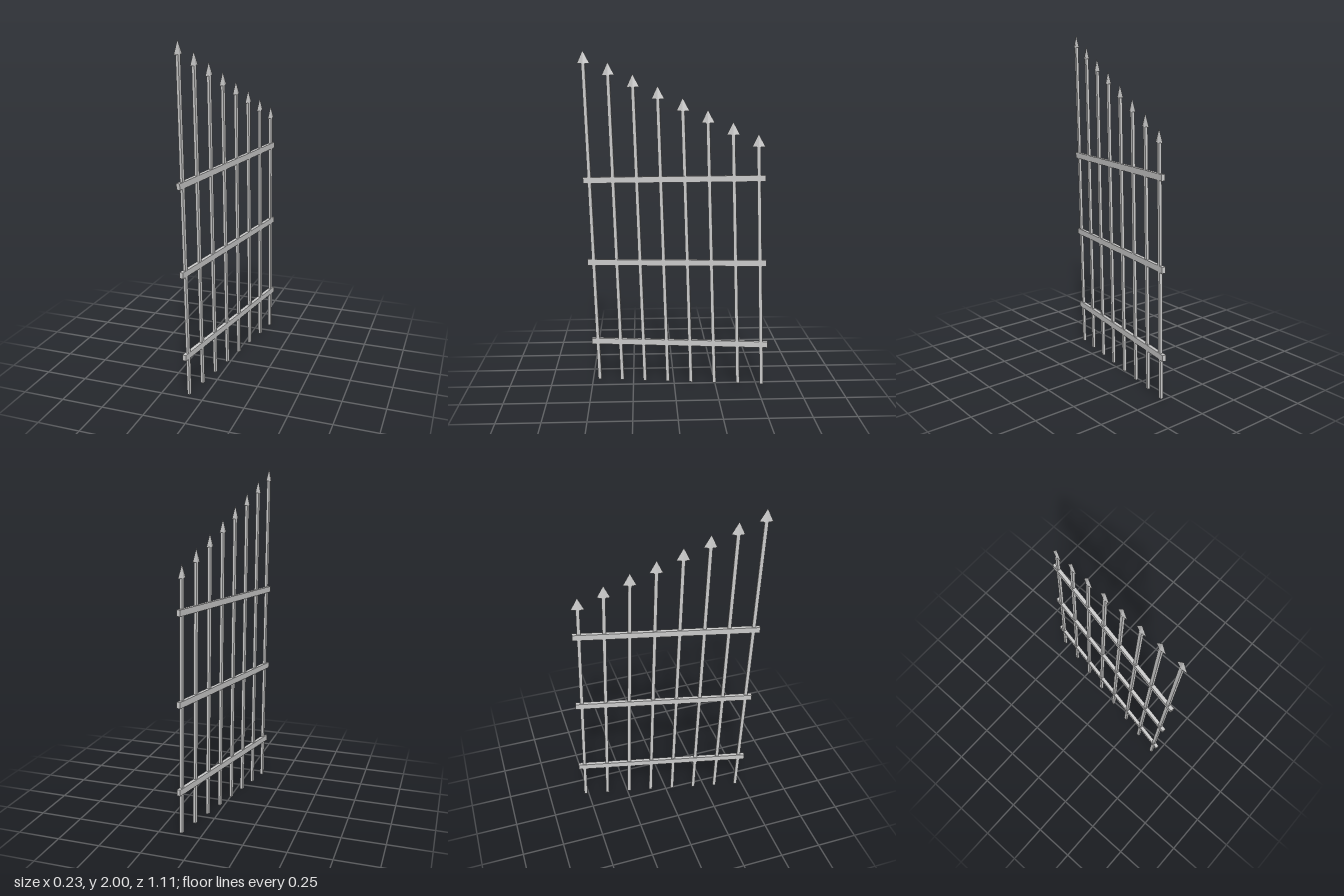
import * as THREE from 'three';

const BARS = 8, SPACING = 0.1428, BAR_WIDTH = 0.021, BAR_DEPTH = 0.016;
const HEAD_HEIGHT = 0.075, TALLEST = 2.0, STEP = 0.071;

export function createModel() {
  const material = new THREE.MeshStandardMaterial({ color: 0xcccccc, flatShading: true });
  const fence = new THREE.Group();
  fence.name = 'fencePanel';

  const add = (name, geometry, x, y, z = 0) => {
    const mesh = new THREE.Mesh(geometry, material);
    mesh.name = name;
    mesh.position.set(x, y, z);
    fence.add(mesh);
  };

  // Thin four-sided spear head, shared by all bars
  const head = new THREE.ConeGeometry(0.038, HEAD_HEIGHT, 4);
  head.scale(1, 1, 0.26);

  // Flat upright bars, stepping down in height along the panel
  for (let i = 0; i < BARS; i++) {
    const x = (i - (BARS - 1) / 2) * SPACING;
    const top = TALLEST - i * STEP;
    const length = top - HEAD_HEIGHT;
    add('bar' + (i + 1), new THREE.BoxGeometry(BAR_WIDTH, length, BAR_DEPTH), x, length / 2);
    add('spearHead' + (i + 1), head, x, top - HEAD_HEIGHT / 2);
  }

  // Horizontal rails
  const rail = new THREE.BoxGeometry(1.075, 0.036, 0.022);
  ['lowerRail', 'middleRail', 'upperRail'].forEach((name, i) => add(name, rail, 0, 0.249 + i * 0.5, -0.002));

  // The panel is turned almost side-on and leans slightly along and across its plane
  const rad = THREE.MathUtils.degToRad;
  fence.rotation.set(rad(0.2), rad(78.9), rad(1.85), 'YXZ');
  fence.position.set(0.0025, 0.0165, -0.0325);

  const model = new THREE.Group();
  model.name = 'fence';
  model.add(fence);
  return model;
}
